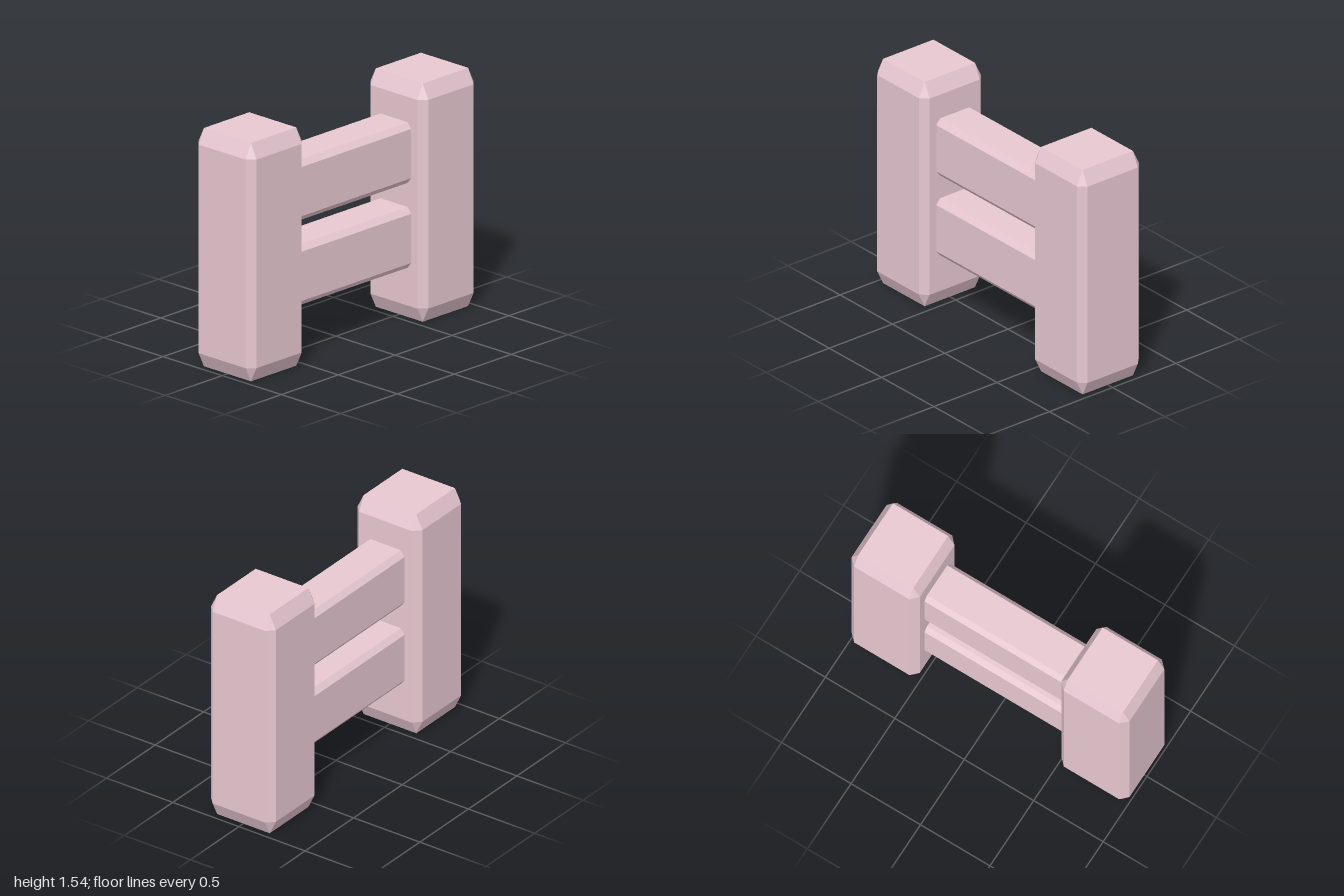
import * as THREE from 'three';
import { ConvexGeometry } from 'three/addons/geometries/ConvexGeometry.js';

const material = new THREE.MeshStandardMaterial({ color: 0xe8c8d2, flatShading: true });

// Box with bevelled edges and corners; half sizes h and bevel depths b per axis
function bevelledBox(h, b) {
  const points = [];
  for (const sx of [-1, 1]) for (const sy of [-1, 1]) for (const sz of [-1, 1]) {
    const s = [sx, sy, sz];
    // each corner becomes a triangle, one point on each adjoining face
    for (let face = 0; face < 3; face++) {
      const c = s.map((sign, axis) => sign * (axis === face ? h[axis] : h[axis] - b[axis]));
      points.push(new THREE.Vector3(...c));
    }
  }
  return new ConvexGeometry(points);
}

// Straight bar along x with an eight-sided bevelled section
function bevelledBar(length, h, d, by, bz) {
  const y = h / 2, z = d / 2;
  const section = new THREE.Shape([
    [z, y - by], [z - bz, y], [bz - z, y], [-z, y - by],
    [-z, by - y], [bz - z, -y], [z - bz, -y], [z, by - y],
  ].map(([u, v]) => new THREE.Vector2(u, v)));
  return new THREE.ExtrudeGeometry(section, { depth: length, bevelEnabled: false })
    .translate(0, 0, -length / 2)
    .rotateY(Math.PI / 2);
}

export function createModel() {
  const model = new THREE.Group();
  model.name = 'fence';

  const add = (name, geometry, x, y) => {
    const mesh = new THREE.Mesh(geometry, material);
    mesh.name = name;
    mesh.position.set(x, y, 0);
    model.add(mesh);
  };

  // Two upright posts
  const post = bevelledBox([0.245, 0.77, 0.245], [0.046, 0.096, 0.046]);
  add('leftPost', post, 0.755, 0.77);
  add('rightPost', post, -0.755, 0.77);

  // Two rails between the posts
  const rail = bevelledBar(1.02, 0.392, 0.29, 0.037, 0.03);
  add('upperRail', rail, 0, 1.085);
  add('lowerRail', rail, 0, 0.537);

  return model;
}
